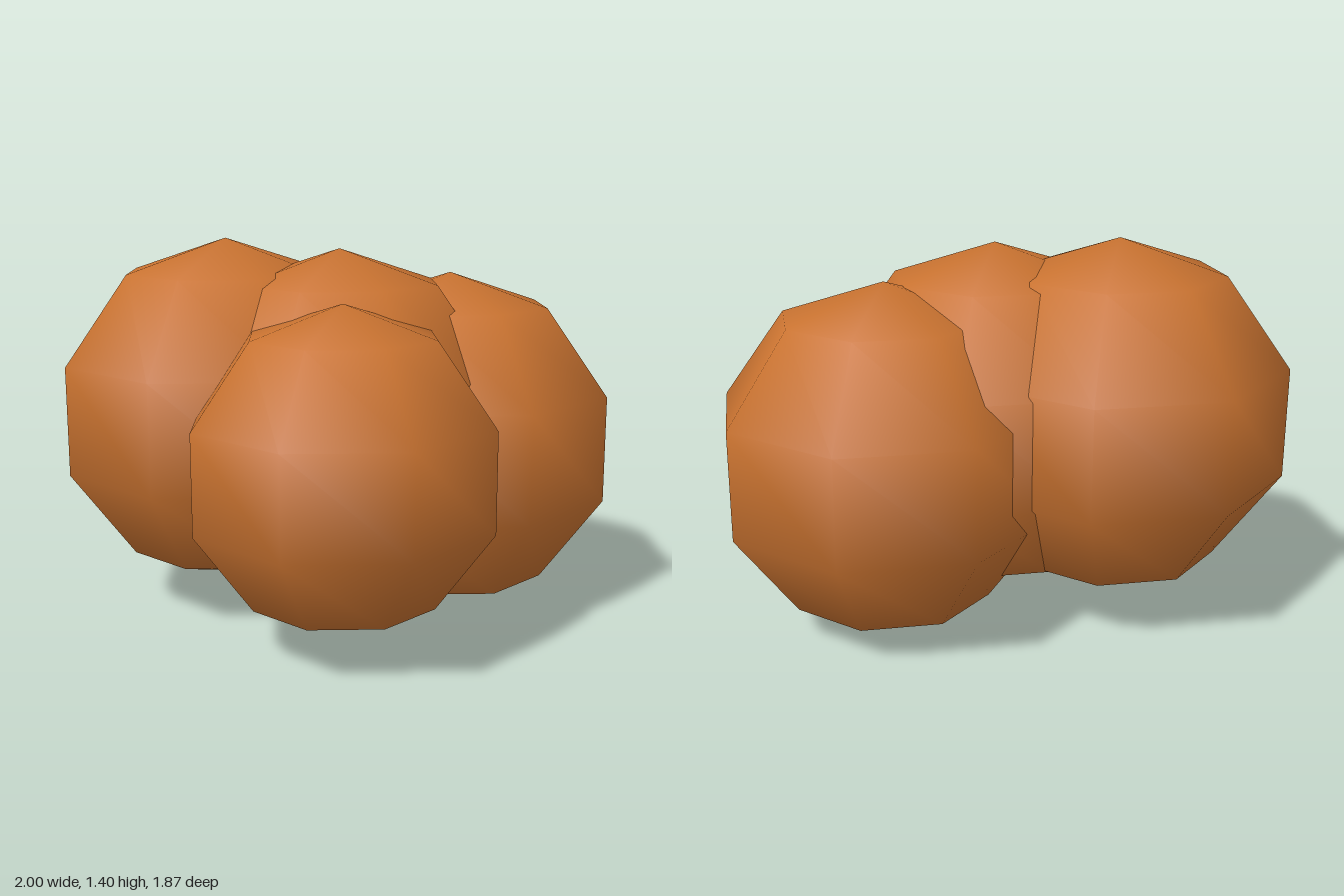
import * as THREE from 'three';

export function createModel() {
  const group = new THREE.Group();
  const copper = new THREE.MeshStandardMaterial({ color: 0xc87230 });
  copper.name = 'copper';

  // Overlapping low-poly lobes with smooth normals: name, radius, centre
  const lobes = [
    ['rightBackLobe', 0.65, [-0.382, 0.755, -0.317]],
    ['middleLobe', 0.638, [-0.05, 0.738, -0.014]],
    ['leftLobe', 0.638, [0.393, 0.638, 0.014]],
    ['frontLobe', 0.568, [-0.216, 0.658, 0.39]],
  ];
  for (const [name, radius, centre] of lobes) {
    const lobe = new THREE.Mesh(new THREE.SphereGeometry(radius, 8, 5), copper);
    lobe.name = name;
    lobe.position.set(...centre);
    group.add(lobe);
  }
  return group;
}
